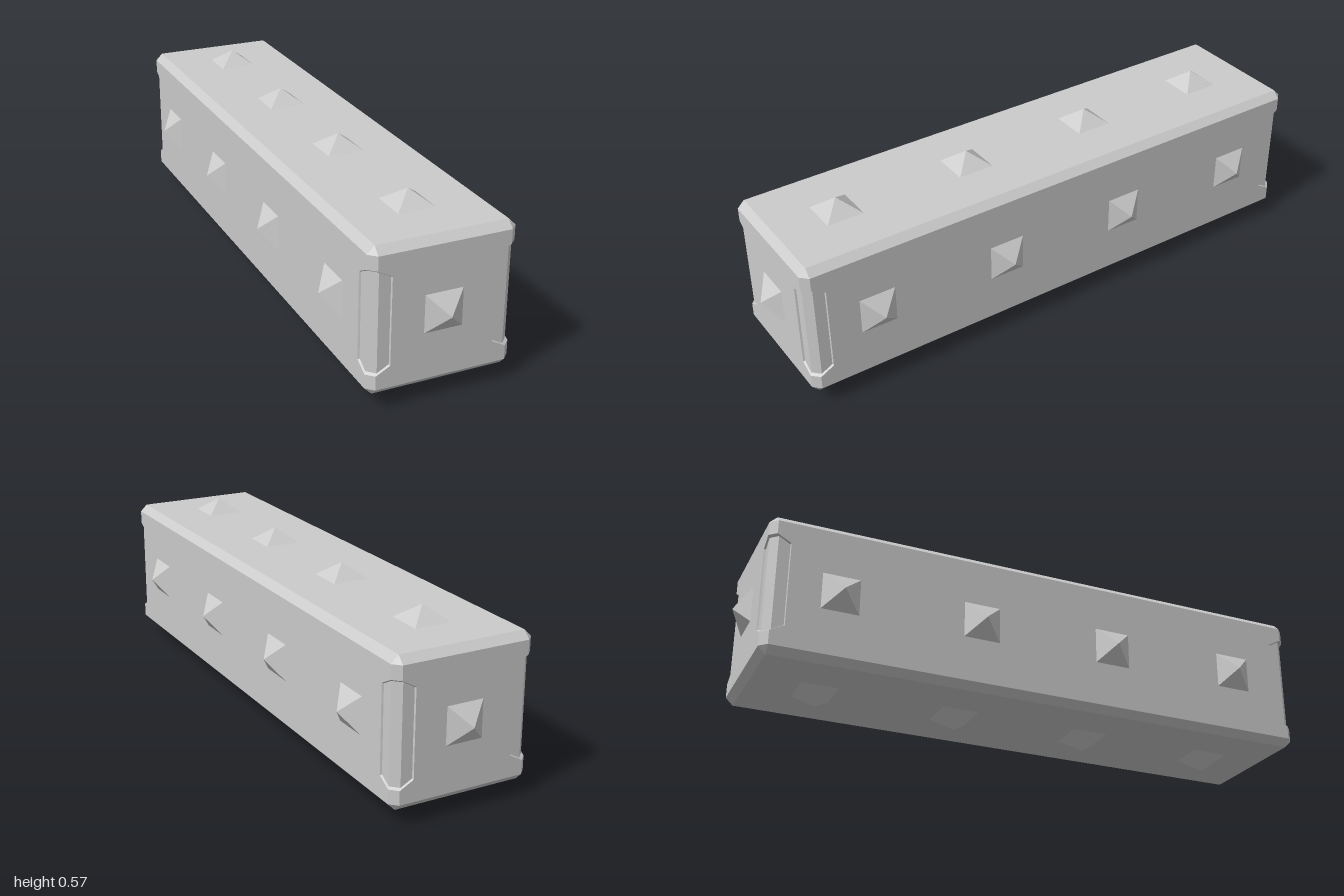
import * as THREE from 'three';

const X = 0.238, Y = 0.238, Z = 0.952; // half sizes of the beam
const C = 0.024;                       // edge chamfer
const CENTRE_Y = 0.286;
const STUD_HALF = 0.062, STUD_HEIGHT = 0.048;

// One eighth of the beam as convex polygons (counter-clockwise from outside).
function octantFaces() {
  const x = X - C, y = Y - C, z = Z - C;   // where the flat faces end
  const xi = 0.168, zi = 0.882;            // inner ends of the corner recess
  const yi = 0.1425, yo = 0.1675;          // recess half height: inner, at the chamfer
  const faces = [
    // End face, around the recess
    [[0, 0, Z], [xi, 0, Z], [xi, yi, Z], [0, yi, Z]],
    [[0, yi, Z], [xi, yi, Z], [x, yo, Z], [x, y, Z], [0, y, Z]],
    // Long side face, around the recess
    [[X, 0, zi], [X, 0, 0], [X, yi, 0], [X, yi, zi]],
    [[X, yi, zi], [X, yi, 0], [X, y, 0], [X, y, z], [X, yo, z]],
    // Top face
    [[0, Y, 0], [0, Y, z], [x, Y, z], [x, Y, 0]],
    // Chamfers and corner
    [[0, y, Z], [x, y, Z], [x, Y, z], [0, Y, z]],
    [[X, y, z], [X, y, 0], [x, Y, 0], [x, Y, z]],
    [[x, yo, Z], [X, yo, z], [X, y, z], [x, y, Z]],
    [[x, y, Z], [X, y, z], [x, Y, z]],
  ];
  // Corner recess: rim on the surface, floor set slightly inwards
  const d = 0.006, s = 0.002;
  const rim = [[xi, 0, Z], [xi, yi, Z], [x, yo, Z], [X, yo, z], [X, yi, zi], [X, 0, zi]];
  const floor = [
    [xi + s, 0, Z - d], [xi + s, yi - s, Z - d], [x - d, yo - d, Z - d],
    [X - d, yo - d, z - d], [X - d, yi - s, zi + s], [X - d, 0, zi + s],
  ];
  for (let i = 0; i < 5; i++) faces.push([rim[i + 1], rim[i], floor[i], floor[i + 1]]);
  const b0 = [x - d, 0, Z - d], c0 = [X - d, 0, z - d];
  faces.push(
    [floor[0], b0, floor[2], floor[1]],
    [b0, c0, floor[3], floor[2]],
    [c0, floor[5], floor[4], floor[3]],
  );
  return faces;
}

// Mirror the octant into all eight and fan each polygon into triangles.
function beamGeometry() {
  const positions = [];
  const faces = octantFaces();
  for (const sx of [1, -1]) for (const sy of [1, -1]) for (const sz of [1, -1]) {
    for (const face of faces) {
      const pts = face.map(([x, y, z]) => [x * sx, y * sy, z * sz]);
      if (sx * sy * sz < 0) pts.reverse();
      for (let i = 1; i < pts.length - 1; i++) positions.push(...pts[0], ...pts[i], ...pts[i + 1]);
    }
  }
  const geometry = new THREE.BufferGeometry();
  geometry.setAttribute('position', new THREE.Float32BufferAttribute(positions, 3));
  geometry.computeVertexNormals();
  return geometry;
}

export function createModel() {
  const model = new THREE.Group();
  model.name = 'studdedBeam';
  const material = new THREE.MeshStandardMaterial({ color: 0xcccccc, flatShading: true });

  const beam = new THREE.Mesh(beamGeometry(), material);
  beam.name = 'beam';
  beam.position.y = CENTRE_Y;
  model.add(beam);

  // Square pyramid with its base at the origin, pointing up
  const studGeometry = new THREE.ConeGeometry(STUD_HALF * Math.SQRT2, STUD_HEIGHT, 4, 1, true)
    .rotateY(Math.PI / 4)
    .translate(0, STUD_HEIGHT / 2, 0);

  const addStud = (name, position, rotation) => {
    const stud = new THREE.Mesh(studGeometry, material);
    stud.name = name;
    stud.position.set(...position);
    stud.rotation.set(...rotation);
    model.add(stud);
  };

  // Four studs along each long face
  for (const z of [-0.714, -0.238, 0.238, 0.714]) {
    addStud('topStud', [0, CENTRE_Y + Y, z], [0, 0, 0]);
    addStud('bottomStud', [0, CENTRE_Y - Y, z], [Math.PI, 0, 0]);
    addStud('leftStud', [X, CENTRE_Y, z], [0, 0, -Math.PI / 2]);
    addStud('rightStud', [-X, CENTRE_Y, z], [0, 0, Math.PI / 2]);
  }
  // One stud on each end
  addStud('frontStud', [0, CENTRE_Y, Z], [Math.PI / 2, 0, 0]);
  addStud('backStud', [0, CENTRE_Y, -Z], [-Math.PI / 2, 0, 0]);

  return model;
}
